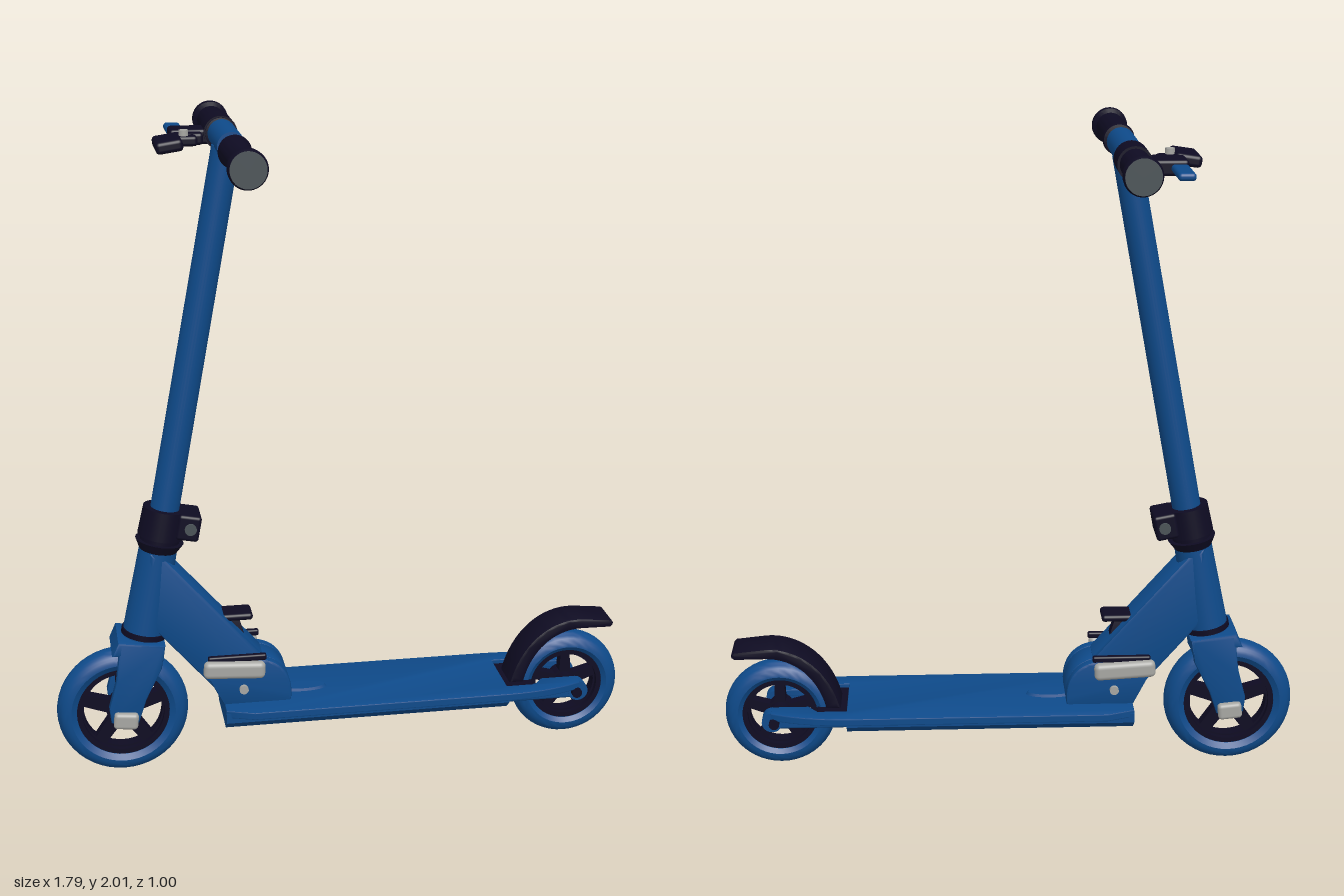
import * as THREE from 'three';
import { RoundedBoxGeometry } from 'three/addons/geometries/RoundedBoxGeometry.js';
import { toCreasedNormals } from 'three/addons/utils/BufferGeometryUtils.js';

const mat = (name, color) => {
  const m = new THREE.MeshStandardMaterial({ color });
  m.name = name;
  return m;
};

export function createModel() {
  const blue = mat('blue paint', 0x0e4a8a);
  const dark = mat('dark rubber', 0x0e0b22);
  const silver = mat('silver metal', 0xa6a6a2);
  const grey = mat('grey cap', 0x4a5256);
  const root = new THREE.Group();
  root.name = 'kickScooter';

  const add = (parent, name, geo, material, x = 0, y = 0, z = 0) => {
    const m = new THREE.Mesh(geo, material);
    m.name = name;
    m.position.set(x, y, z);
    parent.add(m);
    return m;
  };
  const box = (w, h, d, r = 0.01) => new RoundedBoxGeometry(w, h, d, 3, r);
  const upright = (r1, r2, y0, y1) => new THREE.CylinderGeometry(r2, r1, y1 - y0, 32).translate(0, (y0 + y1) / 2, 0);
  const axle = (r, len) => new THREE.CylinderGeometry(r, r, len, 32).rotateX(Math.PI / 2);
  const v2 = (pts) => pts.map(([x, y]) => new THREE.Vector2(x, y));
  const latheZ = (pts) => toCreasedNormals(new THREE.LatheGeometry(v2(pts), 48).rotateX(Math.PI / 2), 0.6);
  // Side profile (x, y) given thickness along z, centred on z = 0
  const slab = (shape, depth, bevel = 0.008) => toCreasedNormals(new THREE.ExtrudeGeometry(shape, {
    depth: depth - 2 * bevel, bevelEnabled: bevel > 0, bevelSize: bevel, bevelThickness: bevel,
    bevelOffset: -bevel, bevelSegments: 2, curveSegments: 16,
  }).translate(0, 0, -depth / 2 + bevel), 0.6);
  const poly = (pts) => new THREE.Shape(v2(pts));

  // Wheels: rounded tyre, spoked rim with five windows, hub
  const wheel = (name, x, y, R, rimR) => {
    const g = new THREE.Group();
    g.name = name;
    g.position.set(x, y, 0);
    root.add(g);
    const profile = [[rimR, -0.036]];
    for (let i = 0; i <= 14; i++) {
      const a = -Math.PI / 2 + (Math.PI * i) / 14;
      profile.push([R - 0.042 + 0.042 * Math.cos(a), 0.047 * Math.sin(a)]);
    }
    profile.push([rimR, 0.036], [rimR, -0.036]);
    add(g, 'tyre', latheZ(profile), blue);
    const r0 = rimR - 0.016;
    add(g, 'rimRing', latheZ([[r0, -0.034], [rimR + 0.003, -0.034], [rimR + 0.003, 0.034], [r0, 0.034], [r0, -0.034]]), dark);
    const disc = new THREE.Shape().absarc(0, 0, r0 + 0.004, 0, Math.PI * 2);
    for (let i = 0; i < 5; i++) {
      const a = Math.PI / 2 + Math.PI / 5 + (i * Math.PI * 2) / 5;
      const hole = new THREE.Path();
      hole.absarc(0, 0, r0 - 0.006, a - 0.47, a + 0.47, false);
      hole.absarc(0, 0, rimR * 0.36, a + 0.2, a - 0.2, true);
      hole.closePath();
      disc.holes.push(hole);
    }
    add(g, 'spokes', slab(disc, 0.036, 0), dark);
    add(g, 'hub', axle(rimR * 0.3, 0.09), dark);
    return g;
  };
  wheel('frontWheel', -0.695, 0.203, 0.203, 0.143);
  wheel('rearWheel', 0.722, 0.187, 0.174, 0.118);

  // Deck: flanged top plate with a rear wheel slot, over a narrower hull
  const plan = new THREE.Shape();
  plan.moveTo(-0.385, -0.13);
  plan.lineTo(-0.3, -0.16);
  plan.lineTo(0.48, -0.16);
  plan.bezierCurveTo(0.6, -0.16, 0.68, -0.14, 0.745, -0.11);
  plan.lineTo(0.745, -0.062);
  plan.lineTo(0.63, -0.062);
  plan.lineTo(0.6, -0.1);
  plan.lineTo(0.51, -0.1);
  plan.lineTo(0.51, 0.1);
  plan.lineTo(0.6, 0.1);
  plan.lineTo(0.63, 0.062);
  plan.lineTo(0.745, 0.062);
  plan.lineTo(0.745, 0.11);
  plan.bezierCurveTo(0.68, 0.14, 0.6, 0.16, 0.48, 0.16);
  plan.lineTo(-0.3, 0.16);
  plan.lineTo(-0.385, 0.13);
  const flat = (shape, depth) => slab(shape, depth, 0.004).rotateX(Math.PI / 2);
  add(root, 'deckPlate', flat(plan, 0.025), blue, 0, 0.214, 0);
  const hull = new THREE.ExtrudeGeometry(poly([[-0.135, 0.215], [-0.135, 0.185], [-0.1, 0.156], [0.1, 0.156], [0.135, 0.185], [0.135, 0.215]]),
    { depth: 0.895, bevelEnabled: false }).rotateY(Math.PI / 2);
  add(root, 'deckHull', hull, blue, -0.385, 0, 0);
  add(root, 'slotFloor', box(0.1, 0.03, 0.195, 0.005), dark, 0.555, 0.2, 0);
  add(root, 'deckTongue', new THREE.CylinderGeometry(0.035, 0.04, 0.012, 24).scale(2, 1, 0.8), blue, -0.13, 0.229, 0);

  // Rear fork arms and axle ends
  for (const s of [-1, 1]) {
    add(root, 'rearArm', box(0.26, 0.045, 0.035, 0.008), blue, 0.62, 0.19, s * 0.083);
    add(root, 'rearArmEnd', axle(0.032, 0.045), blue, 0.742, 0.192, s * 0.082);
    add(root, 'rearAxleNut', axle(0.016, 0.02), dark, 0.735, 0.192, s * 0.112);
  }

  // Rear fender brake, curved over the wheel
  const fender = new THREE.Shape();
  fender.moveTo(0.53, 0.215);
  fender.bezierCurveTo(0.56, 0.34, 0.65, 0.425, 0.76, 0.42);
  fender.lineTo(0.855, 0.41);
  fender.quadraticCurveTo(0.875, 0.395, 0.855, 0.384);
  fender.lineTo(0.76, 0.385);
  fender.bezierCurveTo(0.67, 0.385, 0.6, 0.32, 0.575, 0.215);
  add(root, 'fenderBrake', slab(fender, 0.12), dark);

  // Folding brace from the head tube down to the rounded hinge housing
  add(root, 'brace', slab(poly([[-0.6, 0.73], [-0.555, 0.71], [-0.26, 0.37], [-0.25, 0.23], [-0.38, 0.23], [-0.61, 0.5]]), 0.115, 0.012), blue);
  const housing = new THREE.Shape();
  housing.moveTo(-0.385, 0.22);
  housing.lineTo(-0.43, 0.31);
  housing.lineTo(-0.36, 0.38);
  housing.lineTo(-0.27, 0.37);
  housing.bezierCurveTo(-0.2, 0.36, -0.165, 0.3, -0.178, 0.22);
  for (const s of [-1, 1]) {
    add(root, 'hingePlate', slab(housing, 0.035), blue, 0, 0, s * 0.066);
    add(root, 'hingeBolt', axle(0.014, 0.02), silver, -0.325, 0.275, s * 0.085);
    const lever = add(root, 'foldingLever', box(0.19, 0.055, 0.035, 0.016), silver, -0.355, 0.352, s * 0.107);
    lever.rotation.z = -0.06;
    add(root, 'leverTrim', box(0.18, 0.02, 0.02, 0.006), dark, -0.345, 0.385, s * 0.095);
  }
  add(root, 'hingeCore', slab(housing, 0.1), blue);
  add(root, 'releasePedal', box(0.115, 0.022, 0.085, 0.01), dark, -0.345, 0.495, 0);
  add(root, 'pedalStalk', slab(poly([[-0.39, 0.49], [-0.33, 0.49], [-0.3, 0.38], [-0.36, 0.38]]), 0.04, 0.004), dark);

  // Front fork: crown, two legs and axle nuts
  const leg = poly([[-0.7, 0.45], [-0.565, 0.435], [-0.575, 0.36], [-0.625, 0.26], [-0.65, 0.185], [-0.69, 0.17], [-0.735, 0.19], [-0.74, 0.24], [-0.715, 0.33]]);
  for (const s of [-1, 1]) {
    add(root, 'forkLeg', slab(leg, 0.03), blue, 0, 0, s * 0.071);
    const nut = add(root, 'frontAxleNut', box(0.075, 0.052, 0.03, 0.012), silver, -0.69, 0.2, s * 0.092);
    nut.rotation.z = -0.1;
  }
  add(root, 'forkCrown', slab(poly([[-0.705, 0.455], [-0.562, 0.435], [-0.57, 0.385], [-0.62, 0.405], [-0.725, 0.41]]), 0.17), blue);

  // Steering column, leaning back along one axis
  const column = new THREE.Group();
  column.name = 'steeringColumn';
  column.position.set(-0.708, 0, 0);
  column.rotation.z = -0.188;
  root.add(column);
  add(column, 'headTube', upright(0.066, 0.058, 0.45, 0.74), blue);
  add(column, 'crownRing', upright(0.07, 0.07, 0.455, 0.472), dark);
  add(column, 'headsetRing', upright(0.055, 0.074, 0.73, 0.765), dark);
  add(column, 'headsetNeck', upright(0.06, 0.06, 0.76, 0.785), dark);
  add(column, 'clampCollar', upright(0.07, 0.066, 0.78, 0.87), dark);
  add(column, 'clampBlock', box(0.07, 0.08, 0.12), dark, 0.075, 0.83, 0);
  add(column, 'clampBolt', axle(0.018, 0.135), grey, 0.08, 0.83, 0);
  add(column, 'stemTube', upright(0.044, 0.042, 0.85, 1.97), blue);

  // Handlebar with sleeve, grips and end caps
  const bar = new THREE.Group();
  bar.name = 'handlebar';
  bar.position.set(-0.335, 1.95, 0);
  root.add(bar);
  add(bar, 'barTube', axle(0.03, 0.96), blue);
  add(bar, 'barSleeve', axle(0.042, 0.26), blue, 0, 0.003, -0.012);
  const grip = latheZ([[0.03, 0.17], [0.045, 0.172], [0.048, 0.19], [0.043, 0.21], [0.043, 0.45], [0.054, 0.463], [0.055, 0.488], [0.05, 0.498], [0, 0.498]]);
  for (const s of [0, 1]) {
    const side = new THREE.Group();
    side.name = s ? 'rightGrip' : 'leftGrip';
    side.rotation.y = s * Math.PI;
    bar.add(side);
    // Profile runs inside-out toward the tip, so the surface is shown from both sides
    add(side, 'grip', grip, Object.assign(dark, { side: THREE.DoubleSide }));
    add(side, 'endCap', axle(0.05, 0.006), grey, 0, 0, 0.498);
  }

  // Brake lever, its mount and the bell
  add(bar, 'brakeCollar', axle(0.05, 0.11), dark, 0, 0, -0.23);
  add(bar, 'brakeMount', box(0.14, 0.045, 0.1), dark, -0.08, -0.012, -0.235);
  add(bar, 'brakeLever', box(0.05, 0.022, 0.17), blue, -0.125, -0.012, -0.35);
  add(bar, 'brakePivot', box(0.09, 0.035, 0.05), dark, -0.1, -0.012, -0.165);
  add(bar, 'bellArm', box(0.08, 0.03, 0.06), dark, -0.115, -0.012, -0.13);
  const thumb = add(bar, 'bellLever', box(0.08, 0.035, 0.155, 0.012), dark, -0.165, -0.012, -0.078);
  thumb.rotation.z = 0.15;
  add(bar, 'bellScrew', upright(0.014, 0.014, 0, 0.02), silver, -0.115, 0, -0.12);

  return root;
}
